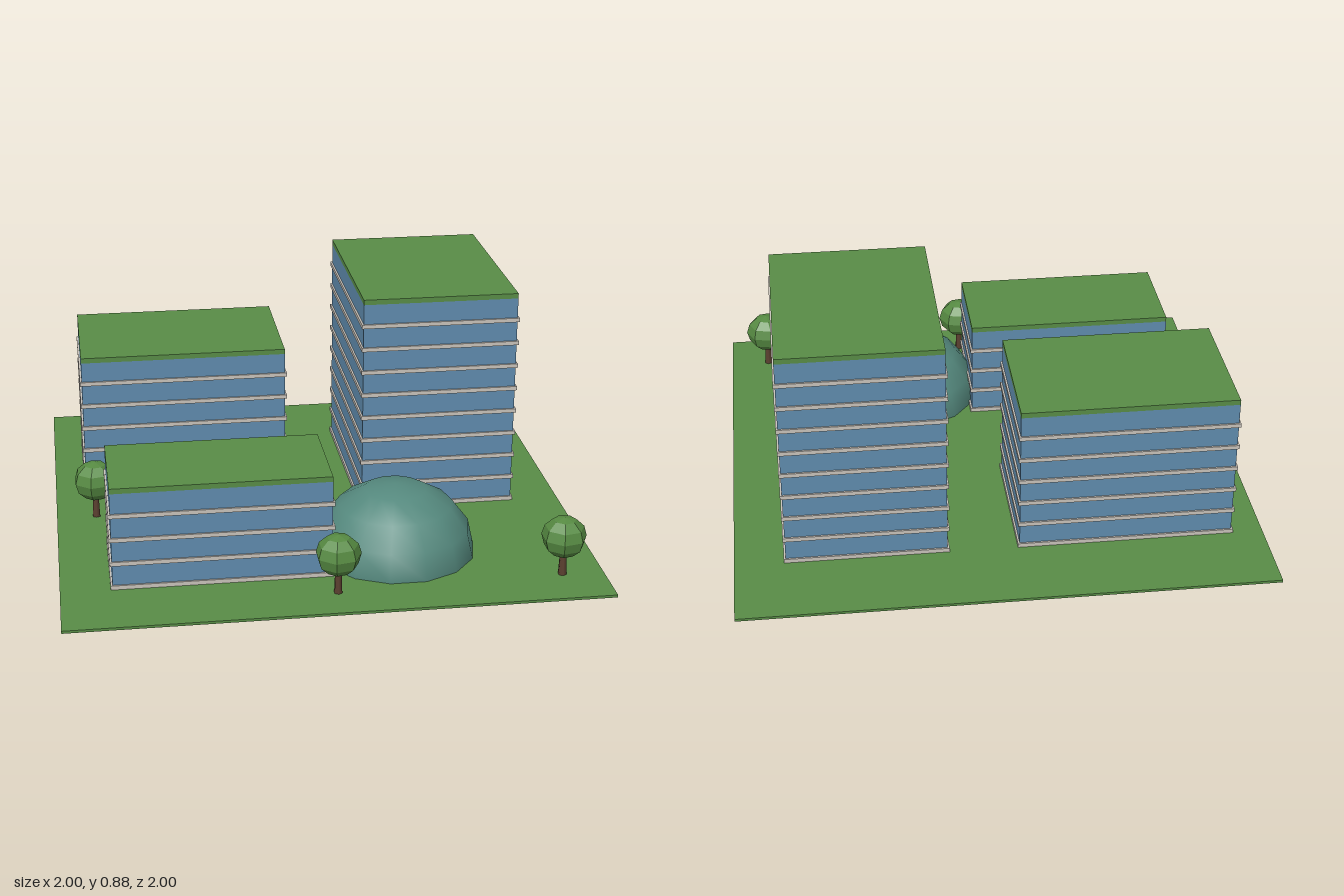
import * as THREE from 'three';

const mat = (name, color, flatShading = false) => {
  const m = new THREE.MeshStandardMaterial({ color, flatShading });
  m.name = name;
  return m;
};

export function createModel() {
  const grass = mat('grass', 0x588c46);
  const glass = mat('blueGlass', 0x5f8bad);
  const concrete = mat('concrete', 0xc9c3bb);
  const domeGlass = mat('domeGlass', 0x55897e);
  const foliage = mat('foliage', 0x568a42, true);
  const bark = mat('bark', 0x5c4030);

  const model = new THREE.Group();
  model.name = 'campus';
  const GROUND = 0.01, FLOOR = 0.0945;

  const add = (parent, name, geometry, material, x, y, z) => {
    const mesh = new THREE.Mesh(geometry, material);
    mesh.name = name;
    mesh.position.set(x, y, z);
    parent.add(mesh);
    return mesh;
  };
  const group = (name, x, z) => {
    const g = new THREE.Group();
    g.name = name;
    g.position.set(x, GROUND, z);
    model.add(g);
    return g;
  };

  // Lawn
  add(model, 'lawn', new THREE.BoxGeometry(2, GROUND, 2), grass, 0, GROUND / 2, 0);

  // Glass block with a projecting slab at each floor and a planted roof
  const building = (name, x, z, w, d, floors) => {
    const g = group(name, x, z);
    const h = floors * FLOOR;
    add(g, 'glassWalls', new THREE.BoxGeometry(w, h, d), glass, 0, h / 2, 0);
    const slab = new THREE.BoxGeometry(w + 0.014, 0.016, d + 0.014);
    for (let i = 0; i < floors; i++) add(g, 'floorSlab', slab, concrete, 0, 0.008 + i * FLOOR, 0);
    add(g, 'greenRoof', new THREE.BoxGeometry(w, 0.02, d), grass, 0, h + 0.01, 0);
  };
  building('tower', 0.506, -0.272, 0.605, 0.81, 9);
  building('middleBuilding', -0.473, -0.409, 0.81, 0.54, 6);
  building('lowBuilding', -0.404, 0.503, 0.81, 0.405, 4);

  // Dome
  const domeShape = new THREE.SphereGeometry(0.305, 14, 4, 0, Math.PI * 2, 0, Math.PI / 2);
  domeShape.scale(1, 0.88, 1);
  domeGlass.side = THREE.DoubleSide;
  add(group('domeHall', 0.268, 0.505), 'dome', domeShape, domeGlass, 0, 0, 0);

  // Trees
  const crown = new THREE.SphereGeometry(0.085, 7, 6, Math.PI);
  crown.scale(1, 0.92, 1);
  const trunk = new THREE.CylinderGeometry(0.012, 0.016, 0.1, 6);
  for (const [x, z] of [[-0.845, 0.064], [0, 0.842], [0.843, 0.808]]) {
    const tree = group('tree', x, z);
    add(tree, 'trunk', trunk, bark, 0, 0.05, 0);
    add(tree, 'crown', crown, foliage, 0, 0.153, 0);
  }
  return model;
}
